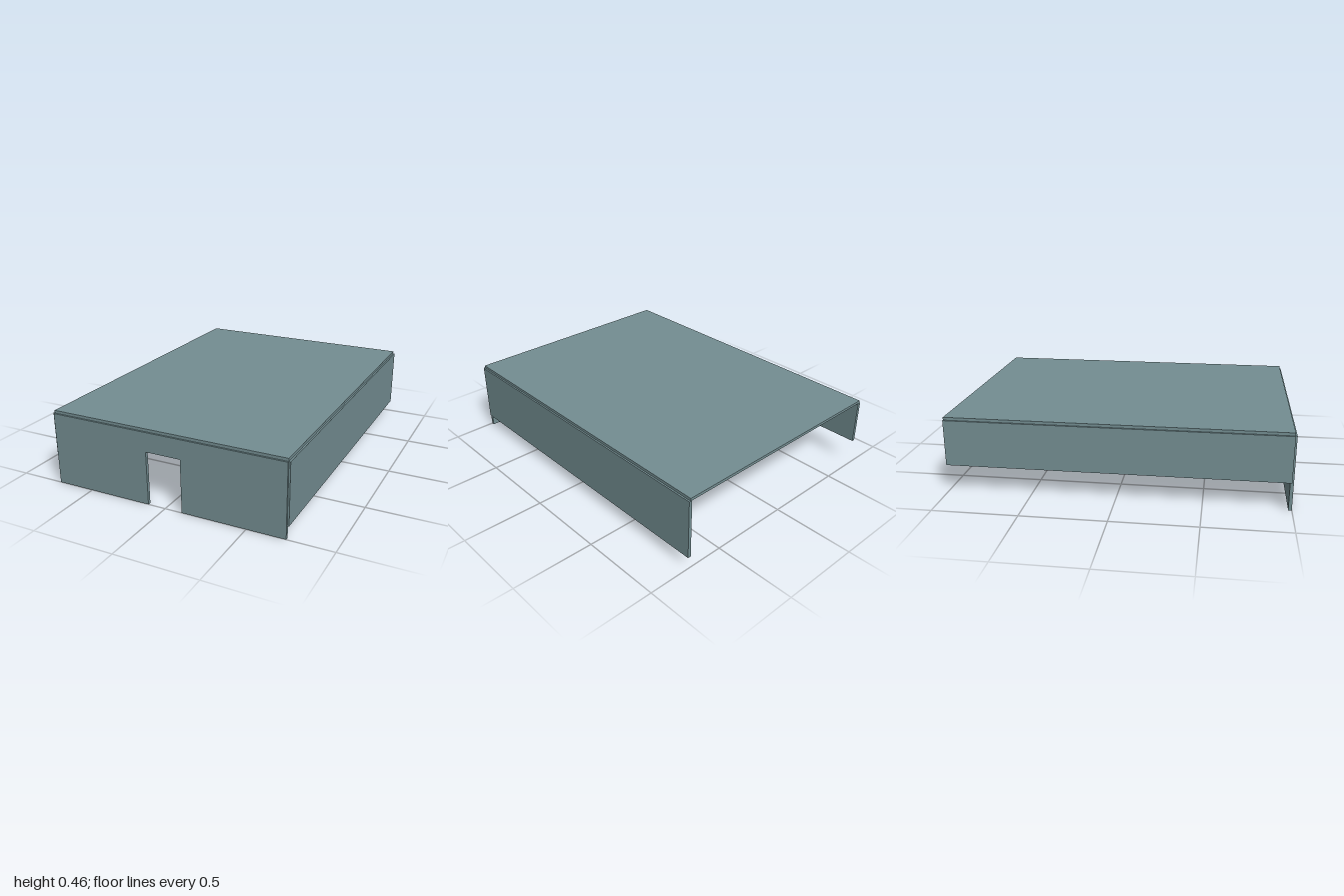
import * as THREE from 'three';

export function createModel() {
  const group = new THREE.Group();
  const panelMat = new THREE.MeshStandardMaterial({ color: 0x738d91 });
  const stripMat = new THREE.MeshStandardMaterial({ color: 0x6b4a35 });

  // Box given by its minimum and maximum corners
  const slab = (name, [x0, y0, z0], [x1, y1, z1], mat = panelMat) => {
    const mesh = new THREE.Mesh(new THREE.BoxGeometry(x1 - x0, y1 - y0, z1 - z0), mat);
    mesh.position.set((x0 + x1) / 2, (y0 + y1) / 2, (z0 + z1) / 2);
    mesh.name = name;
    group.add(mesh);
  };

  const top = 0.443; // underside of the roof
  const back = -1, edge = 0.99;

  // Flat roof
  slab('roof', [-0.73, top, back], [0.73, 0.46, edge]);

  // Side walls: the left one hangs lower than the right one
  slab('leftWall', [0.72, 0.075, back], [0.74, top, edge]);
  slab('rightWall', [-0.74, 0.168, back], [-0.72, top, edge]);

  // Front wall with a doorway
  slab('frontWallRight', [-0.73, 0, 0.98], [-0.11, top, 1]);
  slab('frontWallLeft', [0.107, 0, 0.98], [0.73, top, 1]);
  slab('doorLintel', [-0.11, 0.325, 0.98], [0.107, top, 1]);

  // Small strips under the roof along the right wall
  for (let i = 0; i < 4; i++) {
    const z = 0.85 - i * 0.35;
    slab('ceilingStrip', [-0.715, top - 0.006, z - 0.1], [-0.685, top, z + 0.1], stripMat);
  }
  return group;
}
